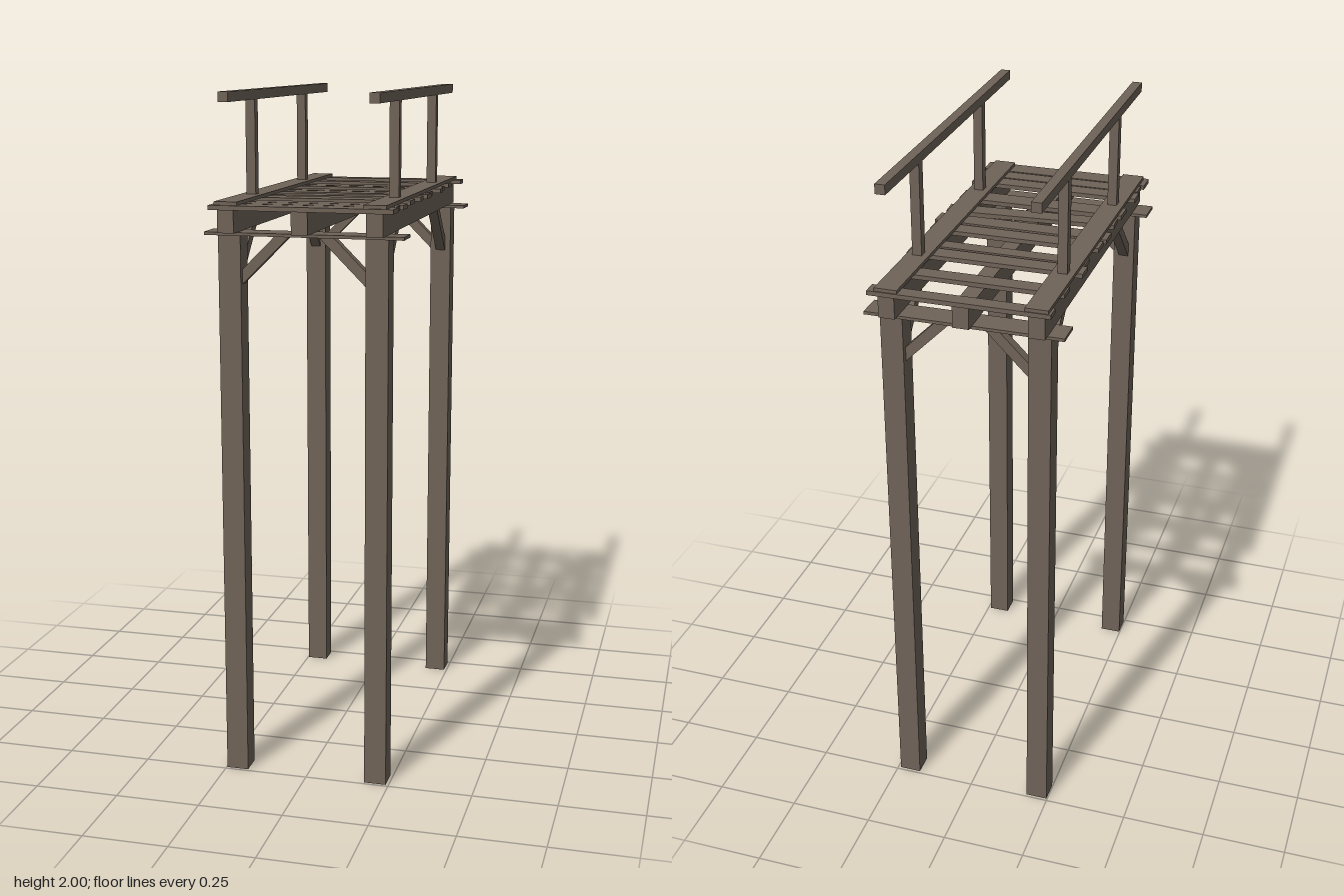
import * as THREE from 'three';

export function createModel() {
  const model = new THREE.Group();
  const wood = new THREE.MeshStandardMaterial({ color: 0x6f6358 });
  wood.name = 'weathered wood';

  // Box given by its limits on each axis
  function beam(name, [x0, x1], [y0, y1], [z0, z1]) {
    const mesh = new THREE.Mesh(new THREE.BoxGeometry(x1 - x0, y1 - y0, z1 - z0), wood);
    mesh.position.set((x0 + x1) / 2, (y0 + y1) / 2, (z0 + z1) / 2);
    mesh.name = name;
    model.add(mesh);
    return mesh;
  }
  const around = (c, width) => [c - width / 2, c + width / 2];

  const offset = -0.003; // the frame sits slightly off the centre line
  const sideX = [offset - 0.212, offset + 0.212];
  const legZ = 0.459;
  const legWidth = 0.065;
  const capTop = 1.615;

  // Diagonal brace, mitred against the leg face and the deck underside
  const outline = new THREE.Shape([
    new THREE.Vector2(0, 1.468), new THREE.Vector2(0.147, capTop),
    new THREE.Vector2(0.105, capTop), new THREE.Vector2(0, 1.51),
  ]);
  const braceGeometry = new THREE.ExtrudeGeometry(outline, { depth: 0.03, bevelEnabled: false });
  braceGeometry.translate(legWidth / 2, 0, -0.015);
  function brace(name, x, z, angle) {
    const mesh = new THREE.Mesh(braceGeometry, wood);
    mesh.position.set(x, 0, z);
    mesh.rotation.y = angle;
    mesh.name = name;
    model.add(mesh);
  }

  // Legs with two braces each, and a thin cap board over each pair
  for (const z of [-legZ, legZ]) {
    for (const x of sideX) {
      beam('leg', around(x, legWidth), [0, 1.606], around(z, legWidth));
      brace('crossBrace', x, z, x > 0 ? Math.PI : 0);
      brace('lengthBrace', x, z, z > 0 ? Math.PI / 2 : -Math.PI / 2);
    }
    beam('capBoard', [-0.286, 0.286], [1.606, capTop], around(z, 0.079));
  }

  // Stringers under the deck
  for (const x of [sideX[0], offset, sideX[1]]) {
    beam('stringer', around(x, 0.047), [capTop, 1.679], [-0.523, 0.523]);
  }

  // Uneven deck planks: x limits, z limits, twist
  const planks = [
    [-0.255, 0.263, -0.527, -0.482],
    [-0.253, 0.249, -0.39, -0.339],
    [-0.263, 0.254, -0.248, -0.193],
    [-0.252, 0.262, -0.182, -0.137],
    [-0.258, 0.253, -0.061, -0.006],
    [-0.263, 0.262, 0.007, 0.066],
    [-0.255, 0.257, 0.105, 0.16, 0.066],
    [-0.258, 0.253, 0.2, 0.266],
    [-0.263, 0.262, 0.346, 0.4],
    [-0.255, 0.254, 0.406, 0.459],
    [-0.263, 0.262, 0.466, 0.53],
  ];
  for (const [x0, x1, z0, z1, twist = 0] of planks) {
    beam('plank', [x0, x1], [1.679, 1.692], [z0, z1]).rotation.y = twist;
  }

  // Kerb boards and handrails on both sides
  for (const x of sideX) {
    beam('kerbBoard', around(x, 0.066), [1.692, 1.702], [-0.524, 0.522]);
    for (const z of [-0.268, 0.268]) {
      beam('railPost', around(x, 0.028), [1.702, 1.972], around(z, 0.029));
    }
    beam('handrail', around(x, 0.029), [1.972, 2], [-0.53, 0.528]);
  }

  return model;
}
